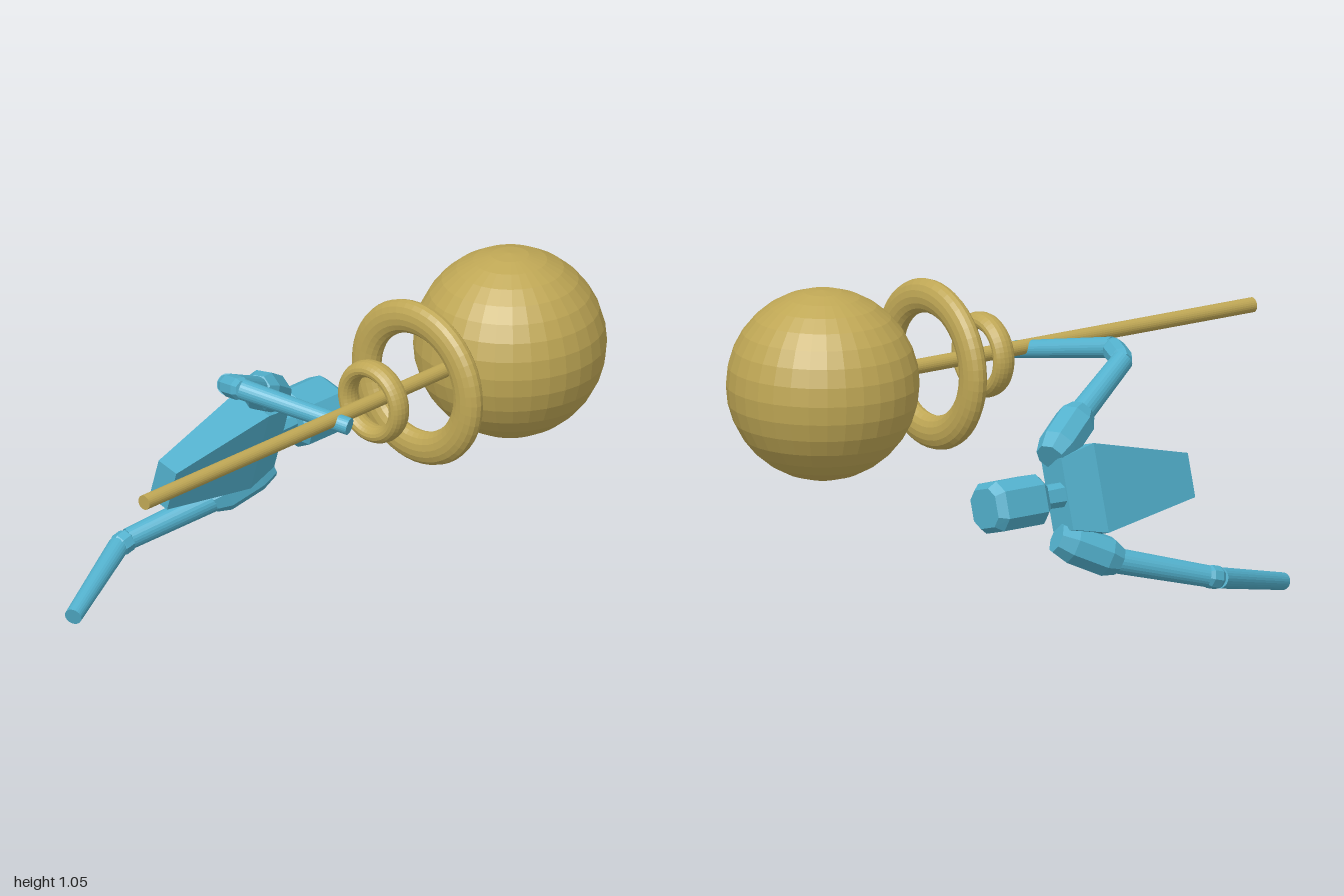
import * as THREE from 'three';

const blue = new THREE.MeshStandardMaterial({ color: 0x52b0cc, flatShading: true });
blue.name = 'figure blue';
const gold = new THREE.MeshStandardMaterial({ color: 0xbfa755, flatShading: true });
gold.name = 'brass gold';
const goldSmooth = gold;

function add(group, name, geometry, material) {
  const mesh = new THREE.Mesh(geometry, material);
  mesh.name = name;
  group.add(mesh);
  return mesh;
}

// Solid of revolution running from point a to point b; profile is [t along axis, radius]
function limb(group, name, a, b, profile, sides) {
  const start = new THREE.Vector3(...a);
  const dir = new THREE.Vector3(...b).sub(start);
  const len = dir.length();
  const pts = [
    new THREE.Vector2(0, profile[0][0] * len),
    ...profile.map(([t, r]) => new THREE.Vector2(r, t * len)),
    new THREE.Vector2(0, profile[profile.length - 1][0] * len),
  ];
  const mesh = add(group, name, new THREE.LatheGeometry(pts, sides), blue);
  mesh.position.copy(start);
  mesh.quaternion.setFromUnitVectors(new THREE.Vector3(0, 1, 0), dir.normalize());
  return mesh;
}

// Faceted solid through rings [z, half width, half height, x offset, y offset], high z first
function loft(section, rings) {
  const n = section.length;
  const pos = [];
  const point = (r, i) => {
    const [z, w, h, ox = 0, oy = 0] = rings[r];
    const [x, y] = section[i % n];
    return [x * w + ox, y * h + oy, z];
  };
  const tri = (...p) => p.forEach((q) => pos.push(...q));
  for (let r = 0; r < rings.length - 1; r++) {
    for (let i = 0; i < n; i++) {
      const a = point(r, i), b = point(r, i + 1), c = point(r + 1, i + 1), d = point(r + 1, i);
      tri(a, d, c);
      tri(a, c, b);
    }
  }
  const last = rings.length - 1;
  for (let i = 1; i < n - 1; i++) {
    tri(point(0, 0), point(0, i), point(0, i + 1));
    tri(point(last, 0), point(last, i + 1), point(last, i));
  }
  const geometry = new THREE.BufferGeometry();
  geometry.setAttribute('position', new THREE.Float32BufferAttribute(pos, 3));
  geometry.computeVertexNormals();
  return geometry;
}

const SQUARE = [[1, -1], [1, 1], [-1, 1], [-1, -1]];
const OCTAGON = [[1, -0.55], [1, 0.55], [0.55, 1], [-0.55, 1], [-1, 0.55], [-1, -0.55], [-0.55, -1], [0.55, -1]];

function buildArm(figure, side, p) {
  const arm = new THREE.Group();
  arm.name = side + 'Arm';
  figure.add(arm);
  limb(arm, side + 'Shoulder', p.shoulder, p.armpit, [[0, 0.05], [0.25, 0.066], [0.8, 0.066], [1, 0.046]], 8);
  limb(arm, side + 'UpperArm', p.armTop, p.elbowIn, [[0, 0.041], [1, 0.035]], 24);
  limb(arm, side + 'Elbow', p.elbowIn, p.elbowOut, [[-0.15, 0.03], [0.15, 0.038], [0.85, 0.038], [1.1, 0.031]], 8);
  limb(arm, side + 'Forearm', p.elbowOut, p.hand, [[0, 0.034], [1, 0.028]], 24);
}

export function createModel() {
  const model = new THREE.Group();
  model.name = 'figureWithStaff';

  // Staff with two rings and a ball, all on one axis
  const staff = new THREE.Group();
  staff.name = 'staff';
  staff.position.set(0.253, 0.75, 0);
  model.add(staff);
  const rod = add(staff, 'rod', new THREE.CylinderGeometry(0.024, 0.024, 1.5, 24), gold);
  rod.rotation.x = Math.PI / 2;
  rod.position.z = 0.25;
  add(staff, 'ball', new THREE.SphereGeometry(0.307, 32, 16), gold).position.z = -0.693;
  for (const [name, radius, tube, z] of [['largeRing', 0.22, 0.055, -0.265], ['smallRing', 0.11, 0.0275, -0.062]]) {
    const ring = add(staff, name, new THREE.TorusGeometry(radius, tube, 16, 48), goldSmooth);
    ring.scale.z = 0.0375 / tube;
    ring.position.z = z;
  }

  // Figure lying along z with its head to the back
  const figure = new THREE.Group();
  figure.name = 'figure';
  model.add(figure);
  const body = new THREE.Group();
  body.name = 'body';
  body.position.set(-0.327, 0.43, 0);
  body.rotation.z = -0.285;
  figure.add(body);
  add(body, 'torso', loft(SQUARE, [
    [0.315, 0.04, 0.071, 0.025, -0.013],
    [-0.08, 0.074, 0.144],
    [-0.2, 0.055, 0.115],
  ]), blue);
  add(body, 'neck', loft(OCTAGON, [[-0.18, 0.05, 0.04], [-0.3, 0.045, 0.036]]), blue);
  add(body, 'head', loft(OCTAGON, [
    [-0.28, 0.068, 0.062],
    [-0.305, 0.09, 0.08],
    [-0.46, 0.09, 0.08],
    [-0.487, 0.068, 0.062],
  ]), blue);

  // Upper arm of the pose reaches the staff, the other trails to the front
  buildArm(figure, 'left', {
    shoulder: [-0.305, 0.55, -0.21], armpit: [-0.225, 0.655, -0.03],
    armTop: [-0.24, 0.64, -0.06], elbowIn: [-0.14, 0.772, 0.195],
    elbowOut: [-0.05, 0.792, 0.222], hand: [0.302, 0.732, 0.102],
  });
  buildArm(figure, 'right', {
    shoulder: [-0.35, 0.3, -0.22], armpit: [-0.425, 0.21, -0.03],
    armTop: [-0.415, 0.215, -0.05], elbowIn: [-0.517, 0.137, 0.25],
    elbowOut: [-0.519, 0.125, 0.295], hand: [-0.391, 0.035, 0.64],
  });
  return model;
}
